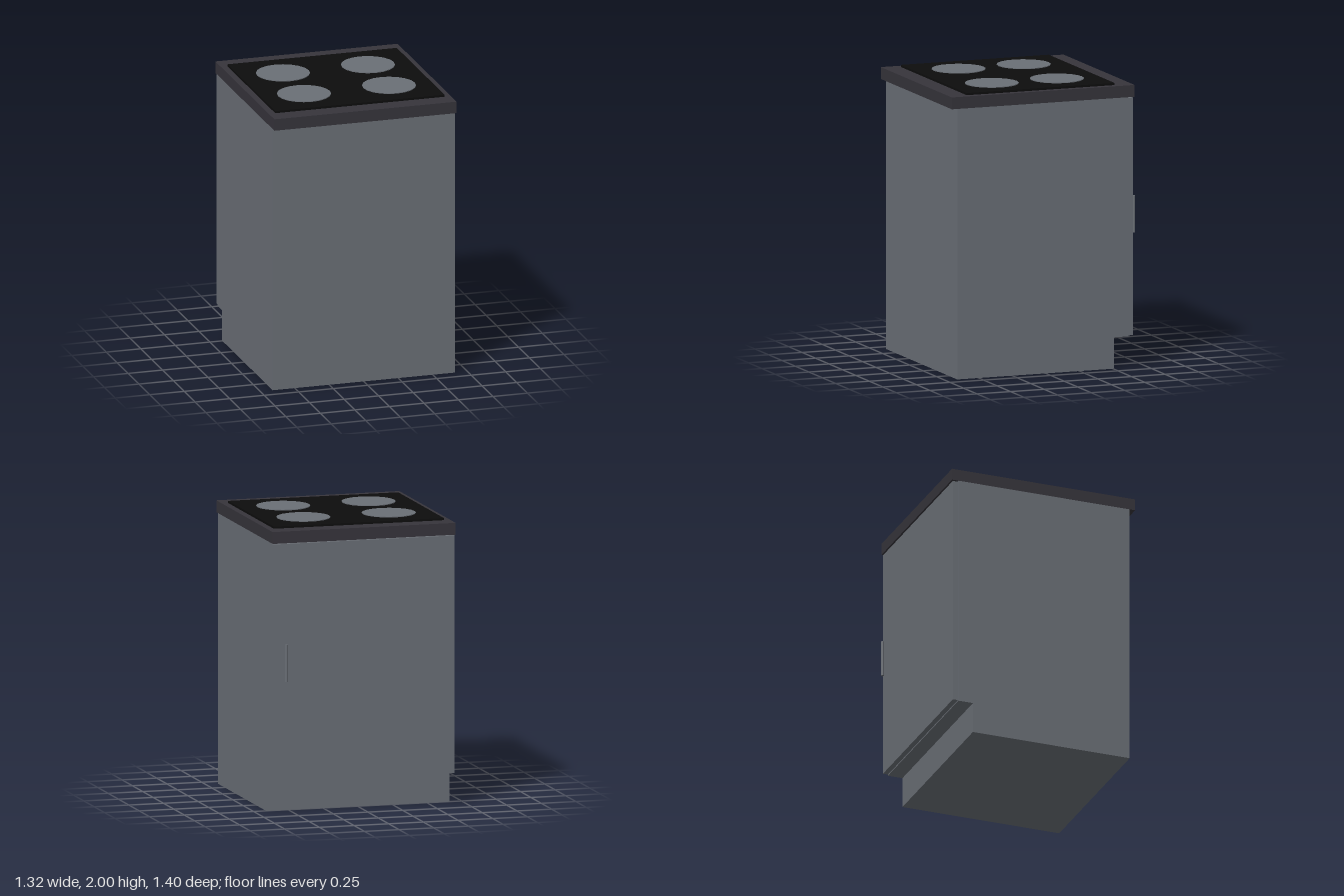
import * as THREE from 'three';

export function createModel() {
  const model = new THREE.Group();
  model.name = 'cookerCabinet';

  const material = (name, color) => {
    const m = new THREE.MeshStandardMaterial({ color });
    m.name = name;
    return m;
  };
  const grey = material('cabinetGrey', 0x6a6f76);
  const charcoal = material('worktopCharcoal', 0x36343b);
  const black = material('hobBlack', 0x0d0d0d);

  const add = (name, geometry, mat, x = 0, y = 0, z = 0) => {
    const mesh = new THREE.Mesh(geometry, mat);
    mesh.name = name;
    mesh.position.set(x, y, z);
    model.add(mesh);
    return mesh;
  };
  // Box given by its lower and upper limits on each axis
  const box = (name, mat, [x0, x1], [y0, y1], [z0, z1]) =>
    add(name, new THREE.BoxGeometry(x1 - x0, y1 - y0, z1 - z0), mat,
      (x0 + x1) / 2, (y0 + y1) / 2, (z0 + z1) / 2);

  // Carcass: side profile with a toe-kick recess, extruded across the width
  const width = 1.32;
  const profile = new THREE.Shape([
    [-0.66, 0], [0.505, 0], [0.505, 0.22], [0.613, 0.22], [0.613, 1.897], [-0.66, 1.897],
  ].map(([a, b]) => new THREE.Vector2(a, b)));
  const carcass = new THREE.ExtrudeGeometry(profile, { depth: width, bevelEnabled: false });
  carcass.translate(0, 0, -width / 2).rotateY(Math.PI / 2); // profile x runs along -z
  add('carcass', carcass, grey);

  // Door with a narrow reveal all round, and its bar handle
  box('door', grey, [-0.655, 0.655], [0.226, 1.891], [-0.652, -0.615]);
  add('doorHandle', new THREE.CylinderGeometry(0.01, 0.01, 0.26, 12), grey, 0.57, 1.06, -0.69);

  // Worktop and glass hob
  box('worktop', charcoal, [-0.66, 0.66], [1.897, 1.98], [-0.66, 0.7]);
  box('hob', black, [-0.613, 0.613], [1.98, 1.995], [-0.53, 0.57]);

  // Four thin cooking plates
  const plate = new THREE.CylinderGeometry(0.187, 0.187, 0.006, 20);
  for (const x of [-0.308, 0.308])
    for (const z of [-0.223, 0.262])
      add('cookingPlate', plate, grey, x, 1.997, z);

  return model;
}
